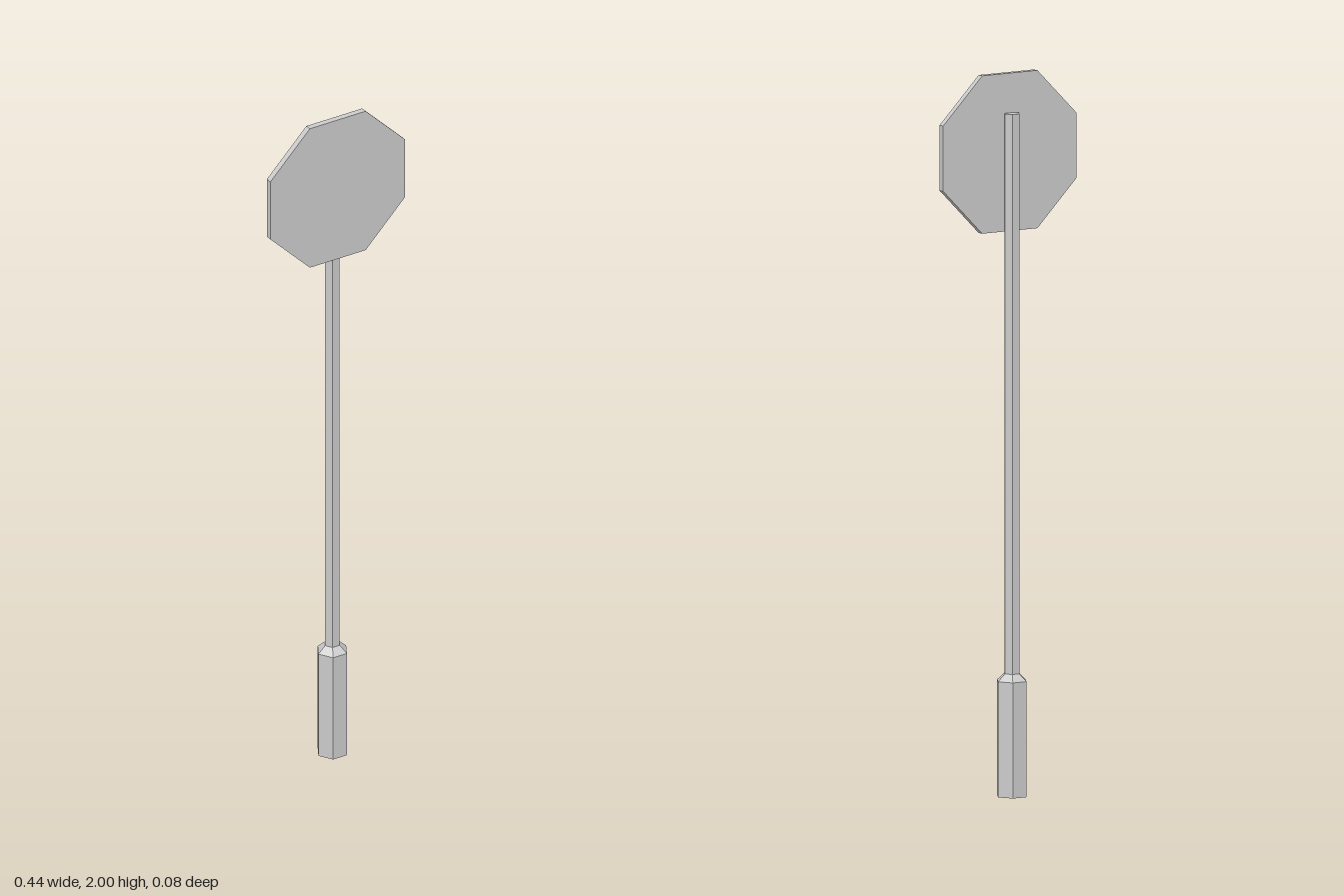
import * as THREE from 'three';

export function createModel() {
  const group = new THREE.Group();
  group.name = 'octagonalRoadSign';
  const material = new THREE.MeshStandardMaterial({ color: 0xcccccc, flatShading: true });

  // Straight or tapered prism standing between two heights, first corner turned half a side
  const prism = (name, sides, rBottom, rTop, y0, y1, open = false) => {
    const geometry = new THREE.CylinderGeometry(rTop, rBottom, y1 - y0, sides, 1, open, Math.PI / sides);
    geometry.translate(0, (y0 + y1) / 2, 0);
    const mesh = new THREE.Mesh(geometry, material);
    mesh.name = name;
    group.add(mesh);
    return mesh;
  };

  // Hexagonal foot, its sloped shoulder and the slim pole
  prism('base', 6, 0.045, 0.045, 0, 0.32);
  prism('baseShoulder', 6, 0.045, 0.023, 0.32, 0.34, true);
  prism('pole', 6, 0.023, 0.023, 0.32, 1.89);

  // Octagonal plate facing the front, fixed to the front of the pole
  const plate = prism('signPlate', 8, 0.2365, 0.2365, -0.009, 0.009);
  plate.rotation.x = Math.PI / 2;
  plate.position.set(0, 1.7815, 0.019);

  return group;
}
